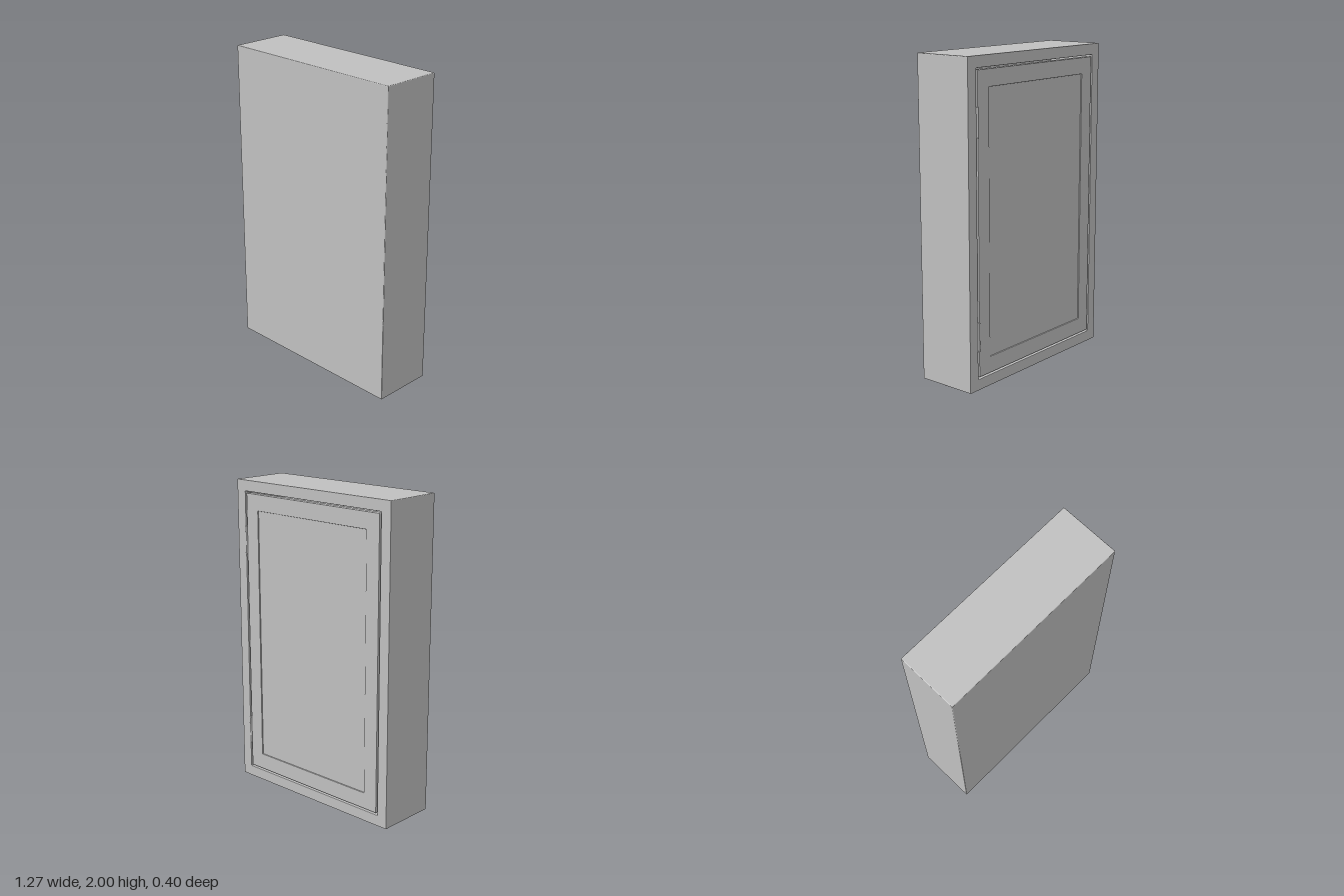
import * as THREE from 'three';
import { RoundedBoxGeometry } from 'three/addons/geometries/RoundedBoxGeometry.js';

const W = 1.266, H = 2;
const FRONT = 0.199, BACK = -0.191; // closed wall and door side of the cabinet
const MID = H / 2;

// Rectangle with small rounded corners, centred on the origin
function rectPath(path, w, h, r) {
  const x = w / 2, y = h / 2;
  path.moveTo(-x + r, -y);
  path.lineTo(x - r, -y);
  path.quadraticCurveTo(x, -y, x, -y + r);
  path.lineTo(x, y - r);
  path.quadraticCurveTo(x, y, x - r, y);
  path.lineTo(-x + r, y);
  path.quadraticCurveTo(-x, y, -x, y - r);
  path.lineTo(-x, -y + r);
  path.quadraticCurveTo(-x, -y, -x + r, -y);
  return path;
}

// Rectangular ring with softened edges, starting at z = 0
function ringGeometry(w, h, holeW, holeH, depth, bevel) {
  const shape = rectPath(new THREE.Shape(), w, h, 0.006);
  shape.holes.push(rectPath(new THREE.Path(), holeW, holeH, 0.003));
  const geometry = new THREE.ExtrudeGeometry(shape, {
    depth: depth - 2 * bevel, bevelSize: bevel, bevelThickness: bevel,
    bevelOffset: -bevel, bevelSegments: 2, curveSegments: 4,
  });
  return geometry.translate(0, 0, bevel);
}

export function createModel() {
  const group = new THREE.Group();
  const grey = new THREE.MeshStandardMaterial({ color: 0xc0c0c0 });
  grey.name = 'grey paint';

  const add = (name, geometry, x, y, z, parent = group) => {
    const mesh = new THREE.Mesh(geometry, grey);
    mesh.name = name;
    mesh.position.set(x, y, z);
    parent.add(mesh);
    return mesh;
  };

  // Carcass: hollow side walls closed by a wall panel
  add('sideWalls', ringGeometry(W, H, 1.122, 1.86, 0.35, 0.004), 0, MID, BACK);
  add('wallPanel', new RoundedBoxGeometry(W, H, 0.06, 3, 0.005), 0, MID, FRONT - 0.03);

  // Door: frame with a slightly recessed centre panel
  const door = new THREE.Group();
  door.name = 'door';
  group.add(door);
  add('doorFrame', ringGeometry(1.1, 1.838, 0.9, 1.63, 0.04, 0.004), 0, MID, BACK, door);
  add('doorPanel', new THREE.BoxGeometry(0.92, 1.65, 0.02), 0, MID, BACK + 0.018, door);

  // Hinges: a barrel with pin heads and two leaves folded into the gap
  for (const y of [0.335, 1.62]) {
    const hinge = new THREE.Group();
    hinge.name = 'hinge';
    hinge.position.set(0.5545, y, BACK);
    group.add(hinge);
    add('hingeBarrel', new THREE.CylinderGeometry(0.007, 0.007, 0.17, 16), 0, 0, 0, hinge);
    for (const s of [-1, 1]) {
      add('hingePinHead', new THREE.CylinderGeometry(0.008, 0.008, 0.006, 16), 0, s * 0.087, 0, hinge);
      add('hingeLeaf', new THREE.BoxGeometry(0.003, 0.17, 0.035), s * 0.004, 0, 0.0175, hinge);
    }
  }

  return group;
}
